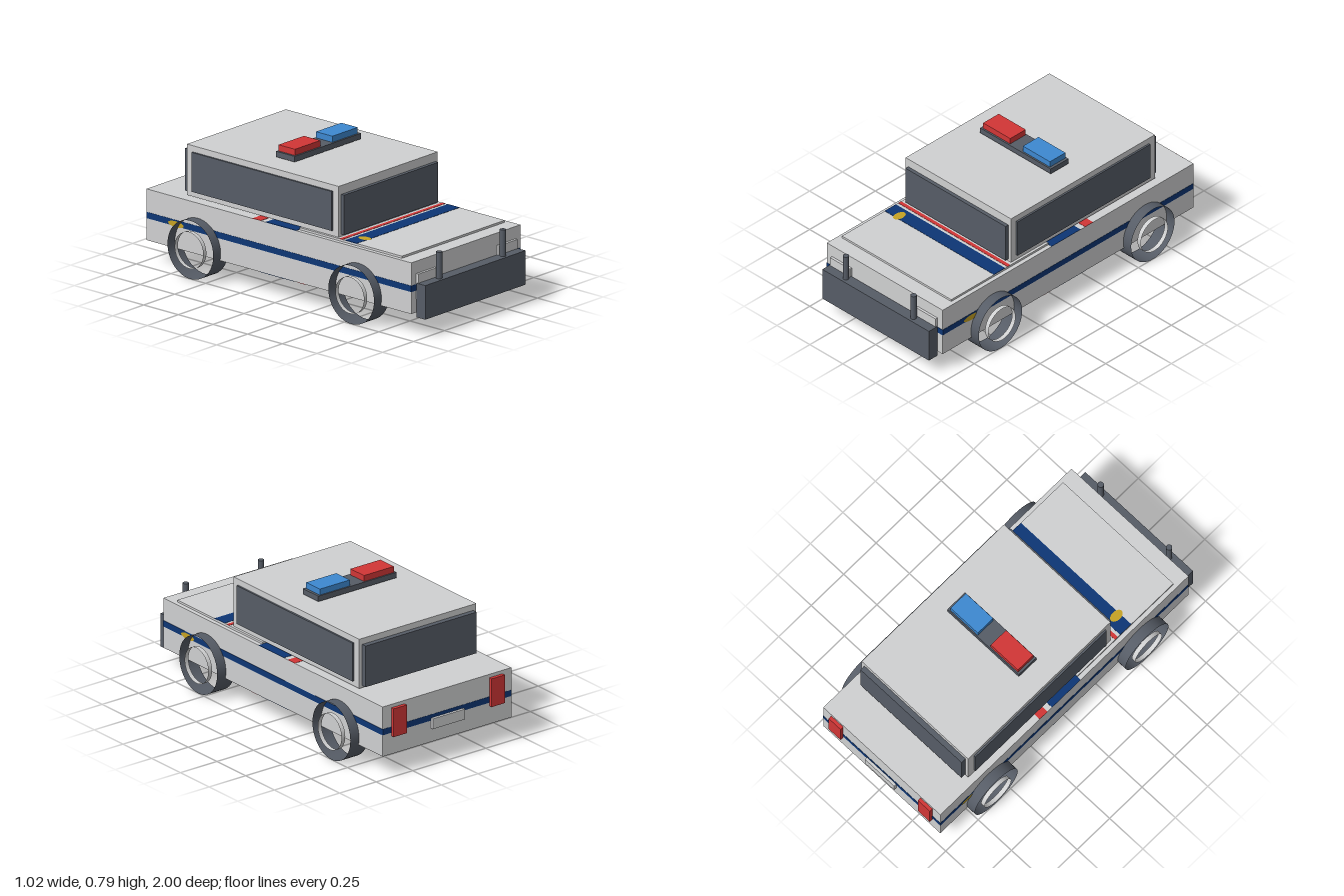
import * as THREE from 'three';

const paint = (name, color, extra = {}) => new THREE.MeshStandardMaterial({ name, color, ...extra });

export function createModel() {
  const car = new THREE.Group();
  car.name = 'patrolCar';

  const white = paint('bodyWhite', 0xcfd0d1);
  const dark = paint('darkGrey', 0x565c66);
  const tyreMat = paint('tyreGrey', 0x565c66, { side: THREE.DoubleSide });
  const hubMat = paint('hubWhite', 0xcfd0d1, { side: THREE.DoubleSide });
  const red = paint('signalRed', 0xd13636);
  const blue = paint('lampBlue', 0x3d88d0);
  const navy = paint('stripeNavy', 0x0d3675);
  const gold = paint('badgeGold', 0xc6a223);

  const add = (name, geometry, material) => {
    const mesh = new THREE.Mesh(geometry, material);
    mesh.name = name;
    car.add(mesh);
    return mesh;
  };
  // Box given by its extents on each axis
  const box = (name, material, [x0, x1], [y0, y1], [z0, z1]) => {
    const mesh = add(name, new THREE.BoxGeometry(x1 - x0, y1 - y0, z1 - z0), material);
    mesh.position.set((x0 + x1) / 2, (y0 + y1) / 2, (z0 + z1) / 2);
    return mesh;
  };
  // Flat oval badge, turned to lie on a face
  const badge = (name, rx, ry, position, rotation) => {
    const mesh = add(name, new THREE.CircleGeometry(1, 32), gold);
    mesh.scale.set(rx, ry, 1);
    mesh.position.set(...position);
    mesh.rotation.set(...rotation);
  };

  // Body, hood and cabin
  box('body', white, [-0.44, 0.44], [0.125, 0.415], [-0.98, 0.93]);
  box('hood', white, [-0.415, 0.415], [0.415, 0.427], [0.1, 0.84]);
  box('cabin', white, [-0.4, 0.4], [0.427, 0.715], [-0.725, 0.37]);

  // Windows
  box('windshield', dark, [-0.38, 0.38], [0.44, 0.665], [0.36, 0.391]);
  box('rearWindow', dark, [-0.38, 0.38], [0.44, 0.68], [-0.755, -0.715]);
  for (const s of [-1, 1]) {
    box('sideWindow', dark, s > 0 ? [0.39, 0.411] : [-0.411, -0.39], [0.457, 0.68], [-0.68, 0.33]);
  }

  // Stripe running round the body
  for (const x of [-0.44, 0.44]) {
    box('sideStripe', navy, [x - 0.0015, x + 0.0015], [0.25, 0.285], [-0.98, 0.93]);
  }
  for (const z of [-0.98, 0.93]) {
    box('endStripe', navy, [-0.44, 0.44], [0.25, 0.285], [z - 0.0015, z + 0.0015]);
  }

  // Cross bands on the hood, body top and underside
  const bands = [
    ['hood', 0.415, 0.427, [0.43, 0.515], [0.39, 0.412]],
    ['deck', 0.44, 0.415, [-0.12, 0.1], [-0.215, -0.155]],
    ['underside', 0.44, 0.125, [-0.16, 0.08], [0.11, 0.166]],
  ];
  for (const [name, w, y, navyZ, redZ] of bands) {
    box(name + 'NavyBand', navy, [-w, w], [y - 0.0015, y + 0.0015], navyZ);
    box(name + 'RedBand', red, [-w, w], [y - 0.0015, y + 0.0015], redZ);
  }

  // Oval badges
  const q = Math.PI / 2;
  badge('hoodBadge', 0.026, 0.041, [-0.325, 0.4305, 0.493], [-q, 0, 0]);
  badge('undersideBadge', 0.027, 0.103, [-0.345, 0.1215, -0.09], [q, 0, 0]);
  badge('leftBadge', 0.056, 0.017, [0.4435, 0.262, 0.715], [0, q, 0]);
  badge('rightBadge', 0.056, 0.017, [-0.4435, 0.262, -0.765], [0, -q, 0]);

  // Front bumper with push bars
  box('frontBumper', dark, [-0.405, 0.405], [0.1, 0.293], [0.935, 1]);
  for (const s of [-1, 1]) {
    const bar = add('pushBar', new THREE.CylinderGeometry(0.017, 0.017, 0.2, 24), dark);
    bar.position.set(s * 0.257, 0.343, 0.968);
    const span = (a, b) => (s > 0 ? [a, b] : [-b, -a]);
    box('headlight', white, span(0.25, 0.4), [0.2, 0.345], [0.92, 0.945]);
    box('tailLight', red, span(0.29, 0.38), [0.23, 0.395], [-1, -0.97]);
  }
  box('rearPlate', white, [-0.11, 0.11], [0.205, 0.265], [-0.997, -0.97]);

  // Open tyre bands and hub rings
  for (const s of [-1, 1]) {
    for (const z of [0.55, -0.61]) {
      const tyre = add('tyre', new THREE.CylinderGeometry(0.165, 0.165, 0.12, 48, 1, true), tyreMat);
      tyre.position.set(s * 0.44, 0.165, z);
      tyre.rotation.z = q;
      const hub = add('hubRing', new THREE.CylinderGeometry(0.103, 0.103, 0.026, 40, 1, true), hubMat);
      hub.position.set(s * 0.499, 0.165, z);
      hub.rotation.z = q;
    }
  }

  // Roof light bar
  box('lightBar', dark, [-0.268, 0.268], [0.725, 0.757], [-0.2, -0.065]);
  box('redLamp', red, [-0.255, -0.05], [0.757, 0.792], [-0.193, -0.075]);
  box('blueLamp', blue, [0.047, 0.252], [0.757, 0.792], [-0.193, -0.075]);

  return car;
}
